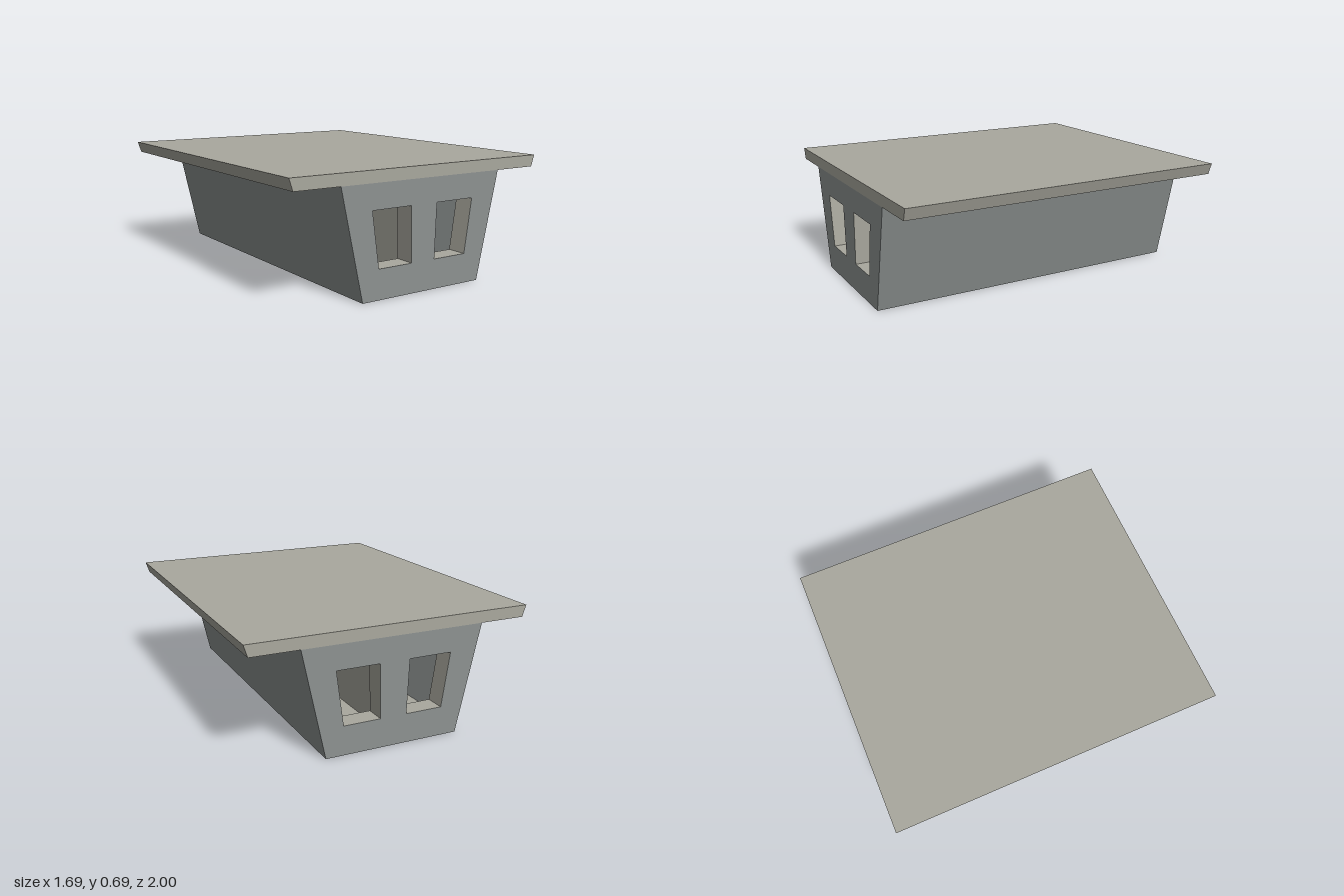
import * as THREE from 'three';

const wallMat = new THREE.MeshStandardMaterial({ color: 0x8d9291 });
const stoneMat = new THREE.MeshStandardMaterial({ color: 0xa9a89e });

const WALL = 0.12; // end wall thickness
const v = (pts) => pts.map(([x, y]) => new THREE.Vector2(x, y));
const mirror = (pts) => pts.map(([x, y]) => [-x, y]).reverse();
const closed = (pts) => [...pts, pts[0]];

// Cross-sections, counter-clockwise seen from the front
const body = [[-0.405, 0], [0.405, 0], [0.545, 0.627], [-0.545, 0.627]];
const roof = [[-0.823, 0.627], [0.823, 0.627], [0.845, 0.695], [-0.845, 0.695]];
const windowL = [[0.08, 0.17], [0.302, 0.17], [0.348, 0.485], [0.09, 0.485]];
const cavityL = [[0.06, 0.09], [0.335, 0.09], [0.443, 0.58], [0.06, 0.58]];
const windows = [windowL, mirror(windowL)];
const cavities = [cavityL, mirror(cavityL)];

function mesh(name, geometry, material) {
  const m = new THREE.Mesh(geometry, material);
  m.name = name;
  return m;
}

// Flat strips along a path, stretched from z0 to z1
function band(name, path, z0, z1, material) {
  const pos = [];
  for (let i = 0; i + 1 < path.length; i++) {
    const [a, b] = [path[i], path[i + 1]];
    pos.push(...a, z0, ...b, z0, ...b, z1, ...a, z0, ...b, z1, ...a, z1);
  }
  const g = new THREE.BufferGeometry();
  g.setAttribute('position', new THREE.Float32BufferAttribute(pos, 3));
  g.computeVertexNormals();
  return mesh(name, g, material);
}

// Flat face facing +z with optional holes
function face(name, outline, holes, z, material) {
  const s = new THREE.Shape(v(outline));
  holes.forEach((h) => s.holes.push(new THREE.Path(v(h))));
  return mesh(name, new THREE.ShapeGeometry(s).translate(0, 0, z), material);
}

// End wall with two tapered window openings
function endWall(name) {
  const g = new THREE.Group();
  g.name = name;
  g.add(face('outerFace', body, windows, 1, wallMat));
  windows.forEach((w, i) => {
    g.add(band('windowReveal', closed(w).reverse(), 1 - WALL, 1, stoneMat));
    const inner = face('innerFace', cavities[i], [w], -(1 - WALL), wallMat);
    inner.rotation.y = Math.PI;
    inner.position.z = 0;
    g.add(inner);
  });
  return g;
}

export function createModel() {
  const model = new THREE.Group();
  model.name = 'flatRoofedBlock';

  // Outer side walls and underside
  model.add(band('outerShell', closed(body), -1, 1, wallMat));

  // Front and back end walls
  const front = endWall('frontWall');
  const back = endWall('backWall');
  back.rotation.y = Math.PI;
  model.add(front, back);

  // Two hollow chambers either side of a central partition
  const z = 1 - WALL;
  const [a, b, c, d] = cavityL;
  const linings = [[c, b], [b, a, d, c]];
  linings.forEach((path, i) => {
    const name = i ? 'chamberLining' : 'chamberSideWall';
    const mat = i ? stoneMat : wallMat;
    model.add(band(name, path, -z, z, mat));
    model.add(band(name, mirror(path), -z, z, mat));
  });

  // Overhanging roof slab with sloped long edges
  const slab = new THREE.ExtrudeGeometry(new THREE.Shape(v(roof)), { depth: 2, bevelEnabled: false });
  model.add(mesh('roofSlab', slab.translate(0, 0, -1), stoneMat));

  return model;
}
